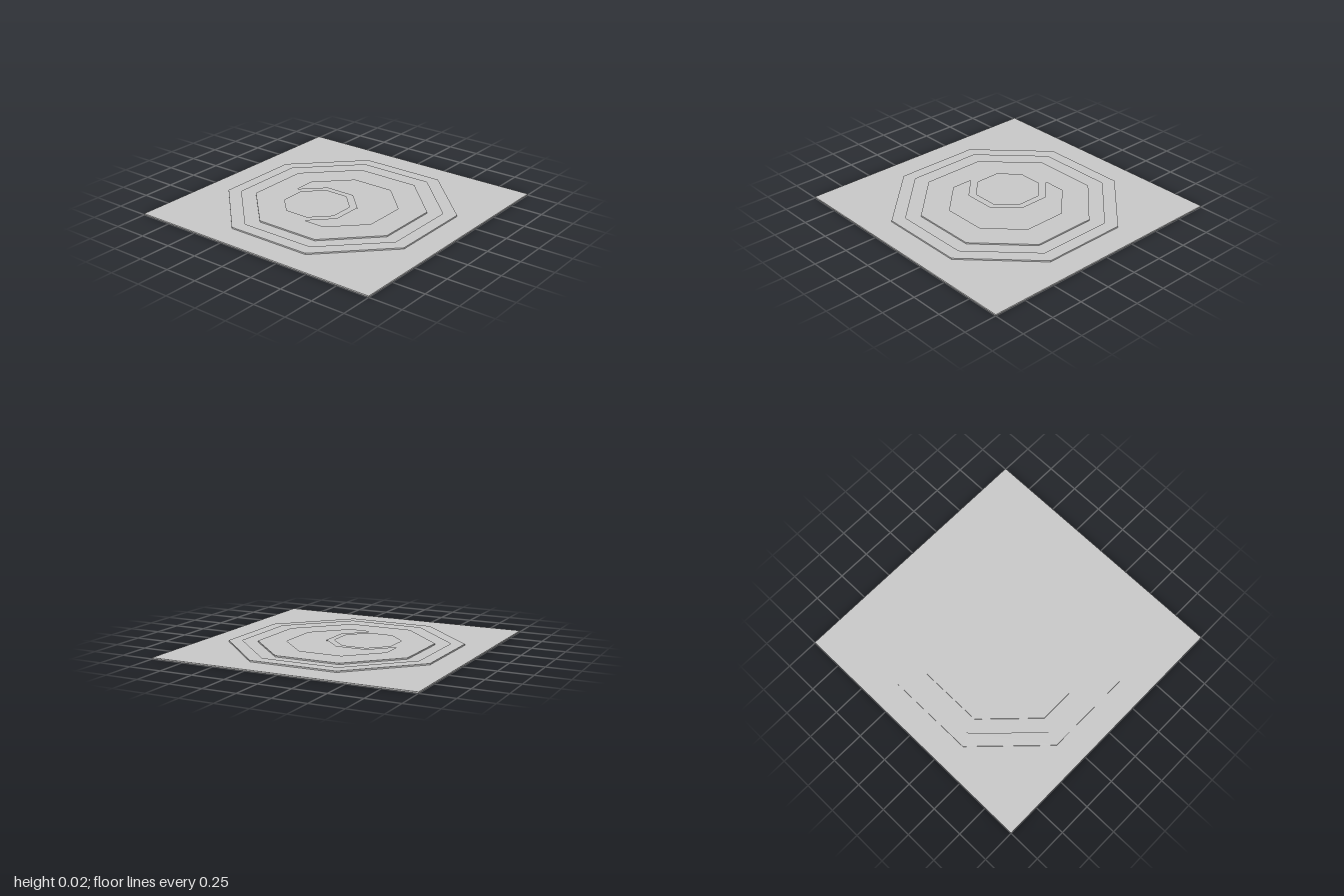
import * as THREE from 'three';

const BASE = 0.01, RELIEF = 0.01;

// Regular octagon with flat sides facing the axes, given by its apothem
function octagon(apothem, cx = 0, cz = 0) {
  const r = apothem / Math.cos(Math.PI / 8);
  return Array.from({ length: 8 }, (_, i) => {
    const a = (i + 0.5) * Math.PI / 4;
    return new THREE.Vector2(cx + r * Math.cos(a), -(cz + r * Math.sin(a)));
  });
}

export function createModel() {
  const group = new THREE.Group();
  const material = new THREE.MeshStandardMaterial({ color: 0xcccccc, flatShading: true });

  function add(name, geometry) {
    const mesh = new THREE.Mesh(geometry, material);
    mesh.name = name;
    group.add(mesh);
  }

  // Raised flat relief lying on the base plate
  function addRelief(name, outline, holes) {
    const shape = new THREE.Shape(outline);
    shape.holes = holes.map((points) => new THREE.Path(points));
    const geometry = new THREE.ExtrudeGeometry(shape, { depth: RELIEF, bevelEnabled: false });
    geometry.rotateX(-Math.PI / 2).translate(0, BASE, 0);
    add(name, geometry);
  }

  // Square base plate
  add('basePlate', new THREE.BoxGeometry(2, BASE, 2).translate(0, BASE / 2, 0));

  // Outer octagonal ring
  addRelief('outerRing', octagon(0.8), [octagon(0.705)]);

  // Inner medallion, cut by a crescent and a small octagon
  const crescent = [
    [0, -0.404], [0.166, -0.404], [0.404, -0.166], [0.404, 0.166],
    [0.166, 0.404], [-0.166, 0.404], [-0.404, 0.166], [-0.404, 0],
    [-0.24, 0.162], [-0.002, 0.162], [0.162, -0.002], [0.162, -0.24],
  ].map(([x, z]) => new THREE.Vector2(x, -z));
  addRelief('innerMedallion', octagon(0.6), [crescent, octagon(0.228, -0.12, -0.12)]);

  return group;
}
